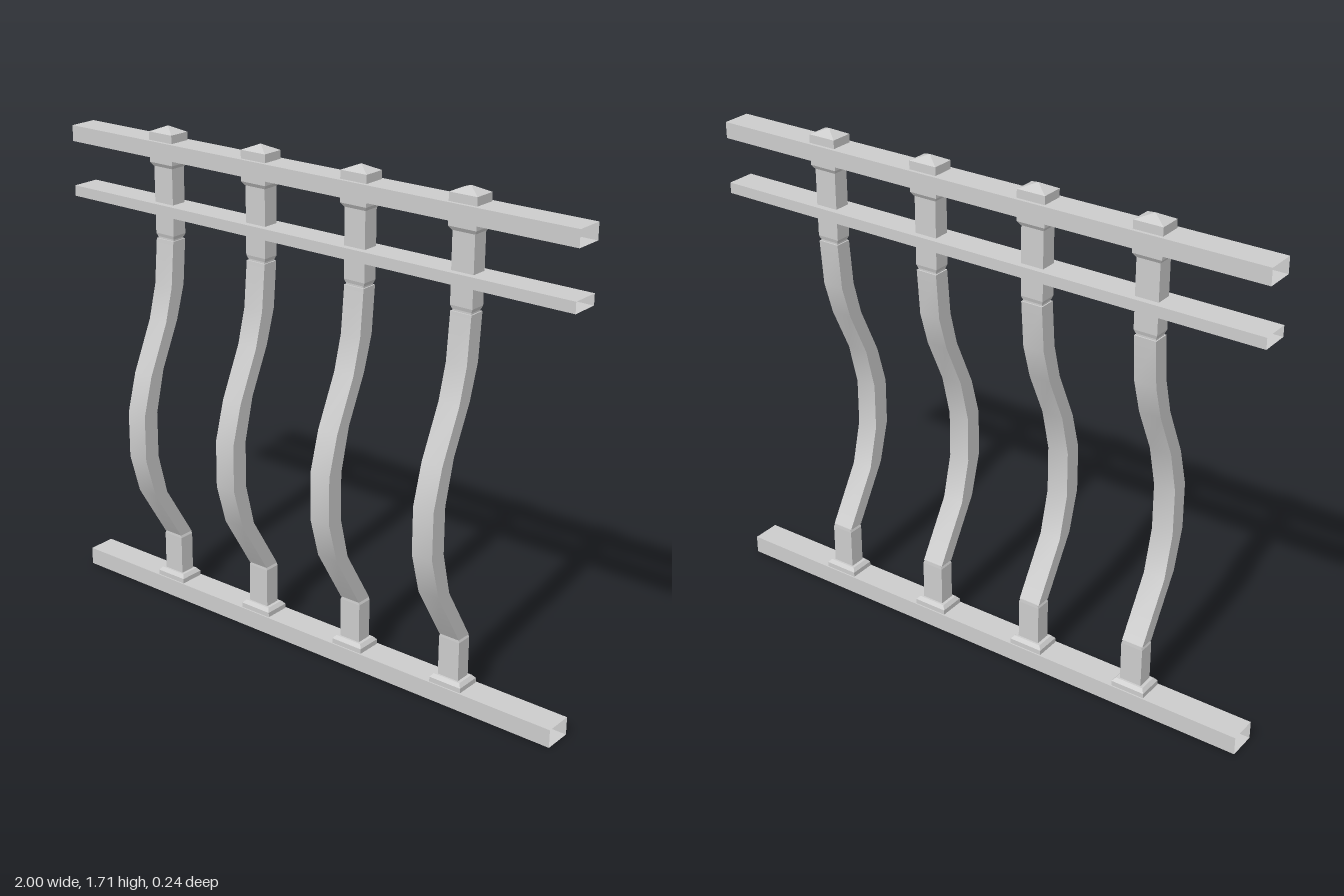
import * as THREE from 'three';

const Z = -0.07; // centre plane of rails and posts

// Four-sided loft. Each ring is [halfWidth, zFront, yFront, zBack, yBack], listed bottom to top.
function loft(rings, { smooth = false, capped = true } = {}) {
  const pos = [], idx = [];
  const corners = rings.map(([w, zf, yf, zb, yb]) => [
    [-w, yf, zf], [w, yf, zf], [w, yb, zb], [-w, yb, zb],
  ]);
  for (let s = 0; s < 4; s++) {
    const base = pos.length / 3;
    corners.forEach((c) => pos.push(...c[s], ...c[(s + 1) % 4]));
    for (let i = 0; i < rings.length - 1; i++) {
      const a = base + i * 2;
      idx.push(a, a + 1, a + 3, a, a + 3, a + 2);
    }
  }
  if (capped) {
    const b = pos.length / 3;
    pos.push(...corners[0].flat(), ...corners[corners.length - 1].flat());
    idx.push(b, b + 2, b + 1, b, b + 3, b + 2, b + 4, b + 5, b + 6, b + 4, b + 6, b + 7);
  }
  let geo = new THREE.BufferGeometry();
  geo.setAttribute('position', new THREE.Float32BufferAttribute(pos, 3));
  geo.setIndex(idx);
  if (!smooth) geo = geo.toNonIndexed();
  geo.computeVertexNormals();
  return geo;
}

// Upright block from [y, width, depth] levels
const block = (levels) =>
  loft(levels.map(([y, w, d]) => [w / 2, Z + d / 2, y, Z - d / 2, y]));

export function createModel() {
  const model = new THREE.Group();
  const metal = new THREE.MeshStandardMaterial({ color: 0xcccccc });
  const sheet = new THREE.MeshStandardMaterial({ color: 0xcccccc, side: THREE.DoubleSide });

  // Hollow rails with open ends
  const rails = [
    ['bottomRail', 0, 0.063],
    ['middleRail', 1.415, 1.452],
    ['topRail', 1.607, 1.662],
  ];
  for (const [name, y0, y1] of rails) {
    const h = (y1 - y0) / 2;
    const geo = loft([[h, 0.05, -1, -0.05, -1], [h, 0.05, 1, -0.05, 1]], { capped: false });
    const rail = new THREE.Mesh(geo.rotateZ(Math.PI / 2), sheet);
    rail.name = name;
    rail.position.set(0, (y0 + y1) / 2, Z);
    model.add(rail);
  }

  // Bowed bar: front and back edge of each section
  const bow = [
    [-0.041, 0.24, -0.096, 0.24],
    [0.081, 0.44, 0.023, 0.435],
    [0.122, 0.583, 0.061, 0.583],
    [0.122, 0.745, 0.061, 0.745],
    [0.084, 0.88, 0.024, 0.893],
    [0.005, 1.052, -0.05, 1.052],
    [-0.027, 1.17, -0.086, 1.17],
    [-0.041, 1.327, -0.099, 1.327],
  ].map((p) => [0.038, ...p]);

  const parts = {
    baseCollar: block([[0.063, 0.12, 0.09], [0.08, 0.12, 0.09], [0.092, 0.1, 0.07]]),
    lowerBlock: block([[0.09, 0.078, 0.056], [0.23, 0.078, 0.056], [0.242, 0.068, 0.054]]),
    bowedBar: loft(bow, { smooth: true }),
    neck: block([[1.325, 0.068, 0.048], [1.337, 0.068, 0.048]]),
    middleBlock: block([[1.333, 0.07, 0.05], [1.345, 0.08, 0.057], [1.416, 0.08, 0.057]]),
    upperBlock: block([[1.451, 0.08, 0.057], [1.585, 0.08, 0.057]]),
    topCollar: block([[1.575, 0.082, 0.06], [1.588, 0.1, 0.076], [1.607, 0.1, 0.076]]),
    finial: block([[1.662, 0.1, 0.077], [1.69, 0.1, 0.077], [1.71, 0.002, 0.002]]),
  };

  // Four identical balusters
  for (const x of [-0.6, -0.2, 0.2, 0.6]) {
    const baluster = new THREE.Group();
    baluster.name = 'baluster';
    for (const [name, geo] of Object.entries(parts)) {
      const mesh = new THREE.Mesh(geo, metal);
      mesh.name = name;
      baluster.add(mesh);
    }
    baluster.position.x = x;
    model.add(baluster);
  }
  return model;
}
